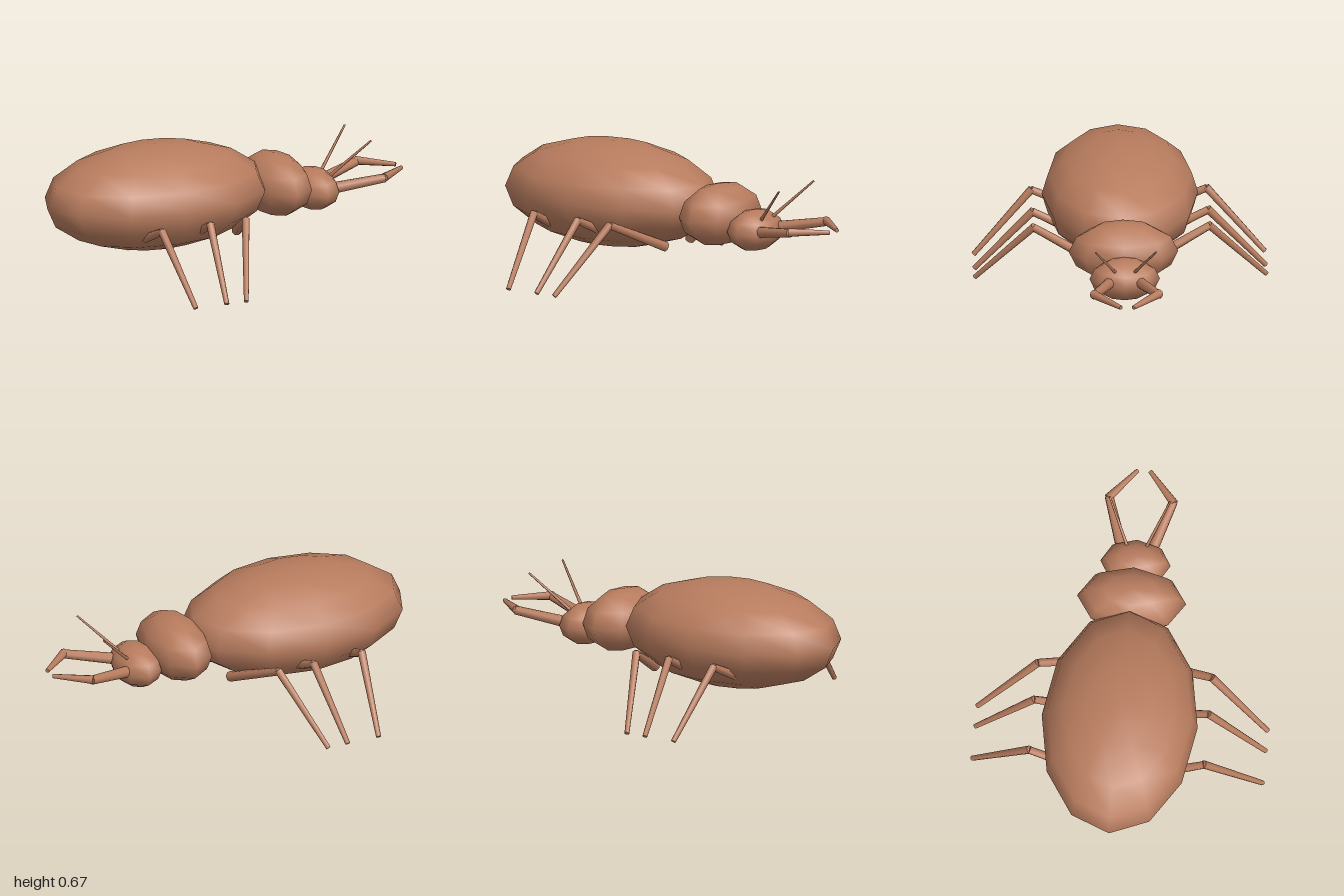
import * as THREE from 'three';

export function createModel() {
  const model = new THREE.Group();
  model.name = 'insect';
  const brown = new THREE.MeshStandardMaterial({ color: 0xb87c5e });
  brown.name = 'chitin brown';

  // Ellipsoid body section
  function ellipsoid(name, centre, radii, around, high) {
    const geometry = new THREE.SphereGeometry(1, around, high);
    geometry.scale(...radii);
    const mesh = new THREE.Mesh(geometry, brown);
    mesh.name = name;
    mesh.position.set(...centre);
    model.add(mesh);
  }

  // Tapered limb segment from a to b
  function segment(name, a, b, ra, rb, sides = 8) {
    const start = new THREE.Vector3(...a);
    const dir = new THREE.Vector3(...b).sub(start);
    const mesh = new THREE.Mesh(new THREE.CylinderGeometry(rb, ra, dir.length(), sides), brown);
    mesh.name = name;
    mesh.position.copy(start).addScaledVector(dir, 0.5);
    mesh.quaternion.setFromUnitVectors(new THREE.Vector3(0, 1, 0), dir.normalize());
    return mesh;
  }

  // Body, with the head towards +x
  ellipsoid('abdomen', [-0.39, 0.4, 0], [0.61, 0.27, 0.4], 12, 8);
  ellipsoid('thorax', [0.285, 0.373, 0], [0.17, 0.16, 0.28], 8, 6);
  ellipsoid('head', [0.505, 0.317, 0], [0.125, 0.107, 0.18], 8, 6);

  // Hip, knee and foot x of each leg
  const legs = [
    ['frontLeg', 0.02, -0.09, -0.23],
    ['middleLeg', -0.25, -0.29, -0.34],
    ['rearLeg', -0.6, -0.565, -0.515],
  ];

  for (const s of [1, -1]) {
    for (const [name, hip, knee, foot] of legs) {
      const leg = new THREE.Group();
      leg.name = name;
      leg.add(
        segment('upperLeg', [hip, 0.185, s * 0.11], [knee, 0.345, s * 0.45], 0.027, 0.02),
        segment('lowerLeg', [knee, 0.35, s * 0.445], [foot, 0.01, s * 0.745], 0.021, 0.013)
      );
      model.add(leg);
    }

    // Jaw arm with an inward-bent tip
    const jaw = new THREE.Group();
    jaw.name = 'mandible';
    jaw.add(
      segment('jawBase', [0.57, 0.325, s * 0.075], [0.835, 0.372, s * 0.165], 0.03, 0.023),
      segment('jawTip', [0.825, 0.375, s * 0.17], [0.99, 0.37, s * 0.032], 0.023, 0.011)
    );
    model.add(jaw);

    model.add(segment('antenna', [0.57, 0.38, s * 0.048], [0.76, 0.577, s * 0.155], 0.009, 0.005, 6));
  }
  return model;
}
